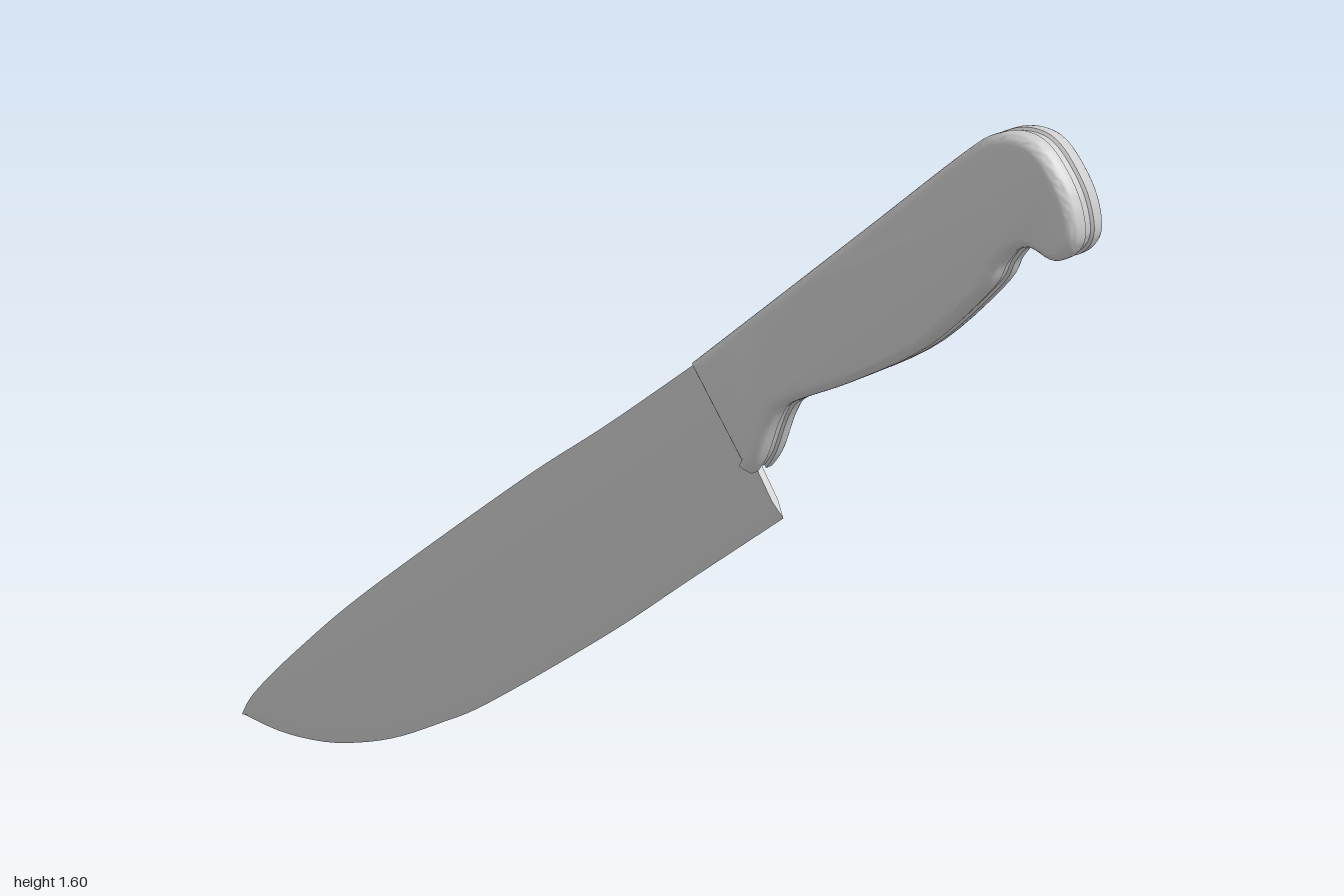
import * as THREE from 'three';
import { toCreasedNormals } from 'three/addons/utils/BufferGeometryUtils.js';

const curve = (pts) => new THREE.SplineCurve(pts.map(([x, y]) => new THREE.Vector2(x, y)));
const material = () => new THREE.MeshStandardMaterial({ color: 0xcccccc });

function makeMesh(name, positions, indices) {
  const geometry = new THREE.BufferGeometry();
  geometry.setAttribute('position', new THREE.Float32BufferAttribute(positions, 3));
  geometry.setIndex(indices);
  const mesh = new THREE.Mesh(toCreasedNormals(geometry, 0.6), material());
  mesh.name = name;
  return mesh;
}

// Move a counter-clockwise outline inwards with mitred corners
function inset(outline, d) {
  const n = outline.length;
  return outline.map((p, i) => {
    const a = p.clone().sub(outline[(i + n - 1) % n]).normalize();
    const b = outline[(i + 1) % n].clone().sub(p).normalize();
    const na = new THREE.Vector2(-a.y, a.x);
    const m = na.clone().add(new THREE.Vector2(-b.y, b.x)).normalize();
    return p.clone().addScaledVector(m, d / Math.max(0.5, m.dot(na)));
  });
}

// Solid from inset copies of an outline stacked along z; layers are [inset, z], back to front
function stack(name, outline, layers) {
  const n = outline.length, positions = [], indices = [];
  const rings = layers.map(([d]) => inset(outline, d));
  rings.forEach((ring, k) => ring.forEach((p) => positions.push(p.x, p.y, layers[k][1])));
  for (let k = 0; k < layers.length - 1; k++) {
    for (let i = 0; i < n; i++) {
      const a = k * n + i, b = k * n + (i + 1) % n;
      indices.push(a, b, b + n, a, b + n, a + n);
    }
  }
  const last = (layers.length - 1) * n;
  for (const [a, b, c] of THREE.ShapeUtils.triangulateShape(rings[0], [])) indices.push(a, c, b);
  for (const [a, b, c] of THREE.ShapeUtils.triangulateShape(rings[layers.length - 1], [])) {
    indices.push(last + a, last + b, last + c);
  }
  return makeMesh(name, positions, indices);
}

// Blade: flat sides, flat spine and a ground bevel along the cutting edge
function makeBlade() {
  const spine = curve([[-1, 0.005], [-0.955, 0.07], [-0.805, 0.22], [-0.607, 0.4],
    [-0.2, 0.737], [0.02, 0.907], [0.24, 1.085]]);
  const edge = curve([[-1, 0.005], [-0.9, 0.005], [-0.805, 0.018], [-0.7, 0.046], [-0.56, 0.105],
    [-0.42, 0.187], [-0.29, 0.273], [0.008, 0.505], [0.21, 0.676], [0.414, 0.848]]);
  const steps = 48, positions = [], indices = [];
  for (let i = 0; i <= steps; i++) {
    const s = spine.getPointAt(i / steps), e = edge.getPointAt(i / steps);
    const width = s.distanceTo(e);
    const b = e.clone().lerp(s, Math.min(0.3, 0.032 / Math.max(width, 0.001)));
    const t = 0.007 * Math.min(1, 0.4 + i / 10);
    positions.push(e.x, e.y, 0, b.x, b.y, t, s.x, s.y, t, s.x, s.y, -t, b.x, b.y, -t);
  }
  for (let i = 0; i < steps; i++) {
    for (let j = 0; j < 5; j++) {
      const a = i * 5 + j, b = i * 5 + (j + 1) % 5;
      indices.push(a, a + 5, b + 5, a, b + 5, b);
    }
  }
  const h = steps * 5;
  for (let j = 1; j < 4; j++) indices.push(h, h + j + 1, h + j);
  for (let j = 1; j < 4; j++) indices.push(0, j, j + 1);
  return makeMesh('blade', positions, indices);
}

export function createModel() {
  const model = new THREE.Group();
  model.name = 'knife';
  model.add(makeBlade());

  // Handle outline: straight back, hooked butt, swelling grip
  const handleOutline = curve([[0.233, 1.08], [0.42, 1.243], [0.6, 1.4], [0.783, 1.56], [0.837, 1.597],
    [0.885, 1.607], [0.925, 1.596], [0.962, 1.56], [0.987, 1.52], [0.998, 1.475], [0.985, 1.444],
    [0.955, 1.428], [0.912, 1.438], [0.88, 1.424], [0.857, 1.396], [0.83, 1.348], [0.71, 1.225],
    [0.57, 1.134], [0.447, 1.066], [0.414, 1.028], [0.387, 0.955], [0.365, 0.92]])
    .getPoints(100).reverse();

  // Tang sandwiched between the two scales
  const handle = new THREE.Group();
  handle.name = 'handle';
  handle.add(stack('tang', handleOutline, [[0.004, -0.007], [0.004, 0.007]]));

  // Scales with a rounded outer rim
  const layers = [[0.004, 0.006], [0, 0.01]];
  const r = 0.02;
  for (let i = 0; i <= 6; i++) {
    const a = (i / 6) * Math.PI / 2;
    layers.push([r * (1 - Math.cos(a)), 0.042 - r + r * Math.sin(a)]);
  }
  handle.add(stack('frontScale', handleOutline, layers));
  handle.add(stack('backScale', handleOutline, layers.map(([d, z]) => [d, -z]).reverse()));
  model.add(handle);
  return model;
}
